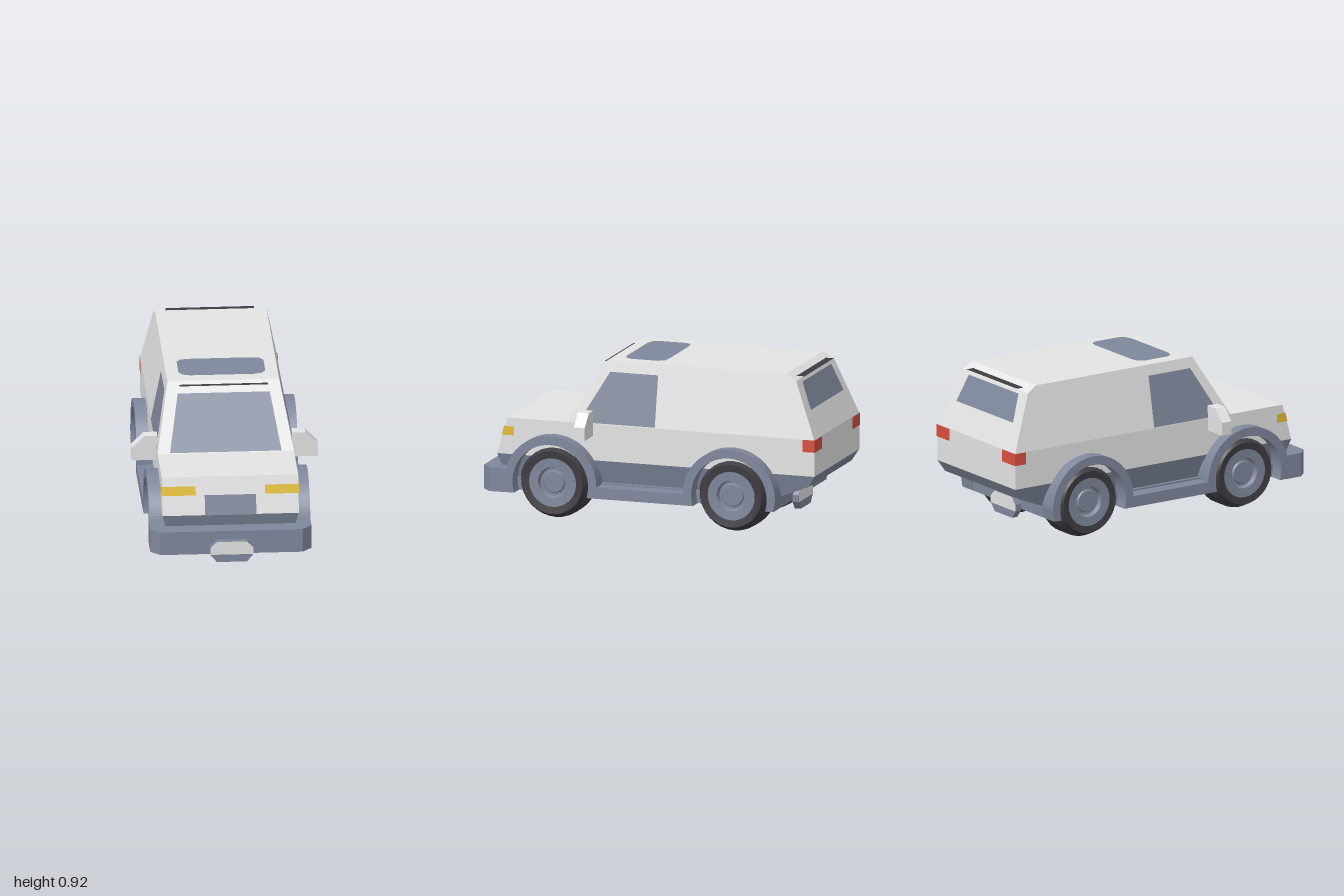
import * as THREE from 'three';
import { toCreasedNormals } from 'three/addons/utils/BufferGeometryUtils.js';

const paint = (name, color) => new THREE.MeshStandardMaterial({ name, color, side: THREE.DoubleSide });

export function createModel() {
  const car = new THREE.Group();
  car.name = 'car';
  const white = paint('whitePaint', 0xe4e4e4);
  const blue = paint('blueGrey', 0x7f889c);
  const black = paint('rubber', 0x403d42);
  const amber = paint('amber', 0xe3bd35);
  const red = paint('red', 0xd94f40);

  const add = (name, geometry, material, parent = car) => {
    const mesh = new THREE.Mesh(geometry, material);
    mesh.name = name;
    parent.add(mesh);
    return mesh;
  };
  const shapeOf = (pts) => new THREE.Shape(pts.map(([a, b]) => new THREE.Vector2(a, b)));

  // Side profile in (z, y), extruded across the car; width(y) gives the half-width
  const sideSolid = (shape, width) => {
    const g = new THREE.ExtrudeGeometry(shape, { depth: 2, bevelEnabled: false, curveSegments: 24 });
    g.translate(0, 0, -1).rotateY(-Math.PI / 2);
    const p = g.attributes.position;
    for (let i = 0; i < p.count; i++) p.setX(i, Math.sign(p.getX(i)) * width(p.getY(i)));
    g.computeVertexNormals();
    return g;
  };

  // Thin flat face through the given corners
  const panel = (name, material, pts) => {
    const g = new THREE.BufferGeometry();
    const tri = [];
    for (let i = 1; i < pts.length - 1; i++) tri.push(...pts[0], ...pts[i], ...pts[i + 1]);
    g.setAttribute('position', new THREE.Float32BufferAttribute(tri, 3));
    g.computeVertexNormals();
    return add(name, g, material);
  };

  // Surface rules of the body
  const cabinW = (y) => 0.385 - (y - 0.56) * 0.197;
  const noseZ = (y) => 0.89 - (y - 0.35) * 0.286;
  const screenZ = (y) => 0.475 - (y - 0.56) * 0.606;
  const backZ = (y) => -1 + (y - 0.56) * 0.406;
  const gap = 0.004;

  // Body shells
  add('lowerBody', sideSolid(shapeOf([[0.89, 0.35], [0.83, 0.56], [-1, 0.56], [-1, 0.35]]), () => 0.385), white);
  add('cabin', sideSolid(shapeOf([[0.475, 0.56], [0.26, 0.915], [-0.81, 0.915], [-0.87, 0.88], [-1, 0.56]]), cabinW), white);
  add('skirt', sideSolid(shapeOf([[0.89, 0.35], [-1, 0.35], [-0.96, 0.285], [-0.78, 0.21], [0.85, 0.21], [0.87, 0.28]]),
    (y) => 0.385 - (0.35 - y) * 0.28), blue);
  const floor = add('floor', new THREE.BoxGeometry(0.74, 0.075, 1.64), blue);
  floor.position.set(0, 0.1825, 0.04);

  // Wheel arches and sills, one strip on each side
  const wheelZ = [0.55, -0.515], axleY = 0.21, outerR = 0.275, innerR = 0.225;
  const arch = new THREE.Shape();
  const a0 = Math.asin(0.07 / outerR), b0 = Math.asin(0.065 / innerR);
  arch.moveTo(0.82, 0.145);
  arch.lineTo(0.82, 0.28);
  arch.absarc(wheelZ[0], axleY, outerR, a0, Math.PI, false);
  arch.absarc(wheelZ[1], axleY, outerR, 0, Math.PI, false);
  arch.lineTo(-0.78, 0.145);
  arch.absarc(wheelZ[1], axleY, innerR, Math.PI + b0, -b0, true);
  arch.absarc(wheelZ[0], axleY, innerR, Math.PI + b0, -b0, true);
  for (const s of [1, -1]) {
    const g = new THREE.ExtrudeGeometry(arch, { depth: 0.105, bevelEnabled: false, curveSegments: 20 });
    g.translate(0, 0, -0.0525).rotateY(-Math.PI / 2);
    add('archAndSill', g, blue).position.x = s * 0.4025;
  }

  // Front bumper with cut corners, drawn in plan
  const bumper = new THREE.ExtrudeGeometry(
    shapeOf([[-0.455, -0.81], [-0.455, -0.91], [-0.4, -0.965], [0.4, -0.965], [0.455, -0.91], [0.455, -0.81]]),
    { depth: 0.137, bevelEnabled: false });
  bumper.rotateX(-Math.PI / 2);
  add('frontBumper', bumper, blue).position.y = 0.144;

  // Plates at both ends: blue slab with a pale upper face
  const plate = (name, y, z, depth, dir) => {
    const outline = [[-0.085, 0], [0.085, 0], [0.122, 0.045], [0.122, 0.085], [0.085, 0.122], [-0.085, 0.122], [-0.122, 0.085], [-0.122, 0.045]];
    const g = new THREE.ExtrudeGeometry(shapeOf(outline), { depth, bevelEnabled: false });
    add(name, g, blue).position.set(0, y, Math.min(z, z - dir * depth));
    panel(name + 'Face', white, outline.slice(2).map(([px, py]) => [px, y + py, z + dir * 0.002]));
  };
  plate('frontPlate', 0.107, 0.998, 0.035, 1);
  plate('rearPlate', 0.09, -0.815, 0.036, -1);

  // Windscreen, rear window and grille
  const across = (name, mat, zAt, y0, y1, w0, w1, off) =>
    panel(name, mat, [[-w0, y0, zAt(y0) + off], [w0, y0, zAt(y0) + off], [w1, y1, zAt(y1) + off], [-w1, y1, zAt(y1) + off]]);
  across('windscreen', blue, screenZ, 0.565, 0.855, 0.315, 0.26, 0.005);
  across('rearWindow', blue, backZ, 0.71, 0.862, 0.28, 0.245, -gap);
  across('grille', blue, noseZ, 0.35, 0.46, 0.145, 0.145, gap);

  // Sunroof
  panel('sunroof', blue, [[-0.245, -0.02], [-0.225, -0.05], [-0.18, -0.06], [0.18, -0.06], [0.225, -0.05], [0.245, -0.02],
    [0.245, 0.14], [0.225, 0.175], [0.18, 0.19], [-0.18, 0.19], [-0.225, 0.175], [-0.245, 0.14]]
    .map(([x, z]) => [x, 0.915 + gap, z]).reverse());

  // Thin trim strips above the windscreen and rear window
  for (const [name, y, z0, z1] of [['frontStrip', 0.896, 0.268, 0.297], ['rearStrip', 0.894, -0.895, -0.848]])
    panel(name, black, [[-0.25, y, z1], [0.25, y, z1], [0.25, y, z0], [-0.25, y, z0]]);

  for (const s of [1, -1]) {
    const order = (pts) => (s > 0 ? pts : pts.reverse());
    // Side window
    panel('sideWindow', blue, order([[-0.05, 0.565], [-0.05, 0.855], [0.235, 0.855], [0.405, 0.565]]
      .map(([z, y]) => [s * (cabinW(y) + gap), y, z])));

    // Headlight and tail light, wrapping the corner
    const lamp = (name, mat, y0, y1, zAt, off, inner, sideZ) => {
      const x = 0.385 + gap;
      panel(name + 'Face', mat, order([[s * inner, y0, zAt(y0) + off], [s * x, y0, zAt(y0) + off],
        [s * x, y1, zAt(y1) + off], [s * inner, y1, zAt(y1) + off]]));
      panel(name + 'Side', mat, order([[s * x, y0, zAt(y0) + off], [s * x, y0, sideZ],
        [s * x, y1, sideZ], [s * x, y1, zAt(y1) + off]]));
    };
    lamp('headlight', amber, 0.46, 0.51, noseZ, gap, 0.195, 0.79);
    lamp('tailLight', red, 0.49, 0.56, () => -1, -gap, 0.26, -0.93);

    // Door mirror
    const mirror = new THREE.ExtrudeGeometry(
      shapeOf([[0.38, 0.49], [0.525, 0.49], [0.525, 0.565], [0.455, 0.635], [0.38, 0.635]].map(([x, y]) => [s * x, y])),
      { depth: 0.065, bevelEnabled: false });
    add('mirror', mirror, white).position.z = 0.32;

    // Pad under the floor
    add('floorPad', new THREE.BoxGeometry(0.13, 0.03, 0.13), black).position.set(s * 0.19, 0.135, 0.175);

    // Wheels
    const spin = (pts) => {
      const g = new THREE.LatheGeometry(pts.map(([r, y]) => new THREE.Vector2(r, y)), 32);
      return toCreasedNormals(g, 0.4).rotateZ(-s * Math.PI / 2);
    };
    for (const z of wheelZ) {
      const wheel = new THREE.Group();
      wheel.name = 'wheel';
      wheel.position.set(0, axleY, z);
      add('tyre', spin([[0, 0.18], [0.18, 0.18], [0.21, 0.25], [0.21, 0.355], [0.18, 0.42], [0.14, 0.415]]), black, wheel);
      add('rim', spin([[0.14, 0.415], [0.088, 0.412], [0.08, 0.385], [0.066, 0.385], [0.06, 0.395], [0, 0.395]]), blue, wheel);
      car.add(wheel);
    }
  }
  return car;
}
